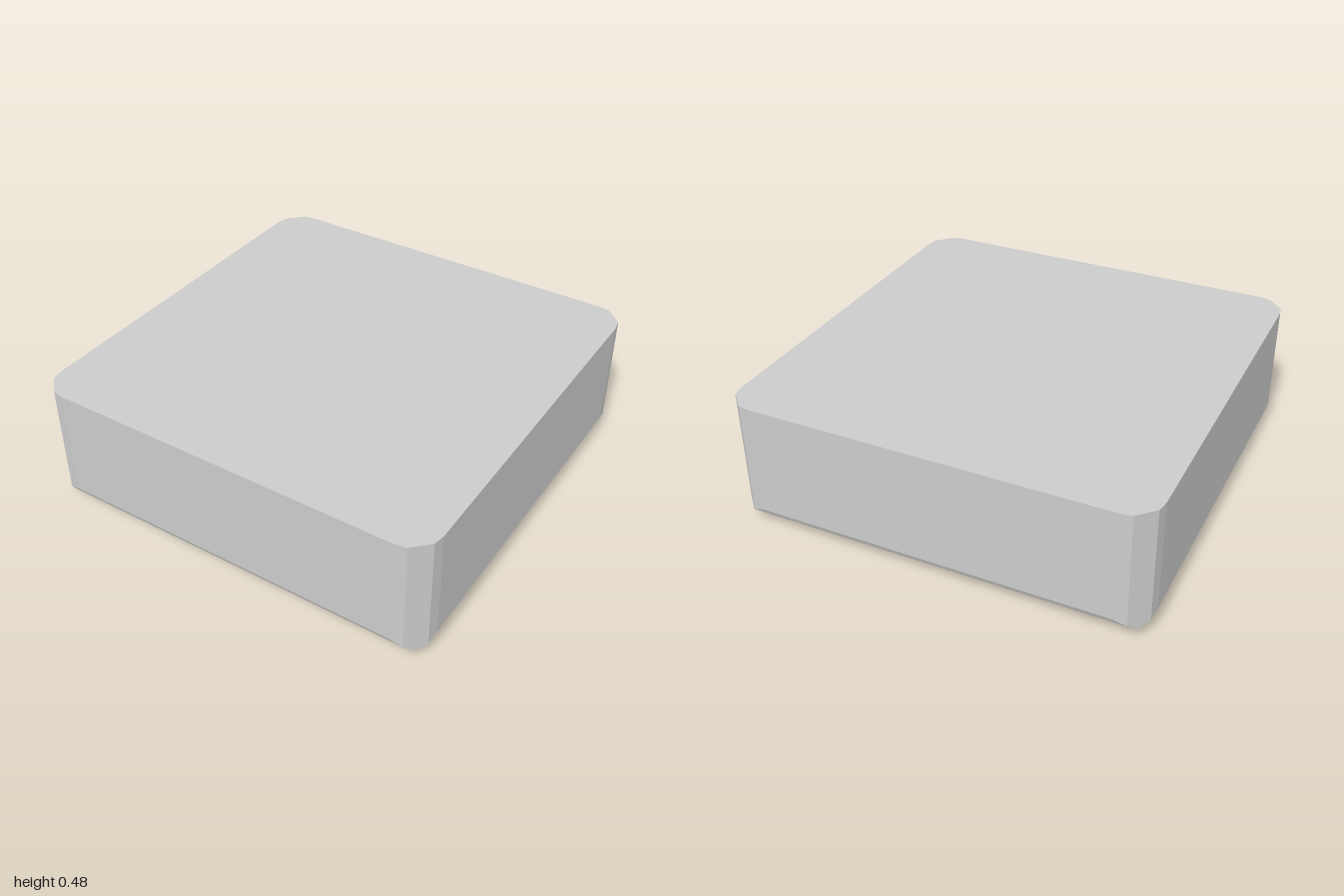
import * as THREE from 'three';
import { ConvexGeometry } from 'three/addons/geometries/ConvexGeometry.js';

const HEIGHT = 0.48;

// Outline of one corner as [sideways, height, outward]; mirrored and turned to all four corners
const corner = [
  [0.075, HEIGHT, 0.975], [0.04, HEIGHT, 1], // flat top with a sharp rim
  [0.075, 0.08, 0.975], [0.04, 0.0636, 1],   // lower ends of the bevelled upright edge
  [0, 0.035, 1],                             // where the bottom bevels meet the upright one
  [0, 0.0085, 0.962], [0, 0, 0.935],         // mitre running in to the flat underside
];

export function createModel() {
  const points = [];
  for (let k = 0; k < 4; k++) {
    const c = [1, 0, -1, 0][k], s = [0, 1, 0, -1][k];
    for (const [x, y, z] of corner) {
      for (const side of x > 0 ? [-1, 1] : [1]) {
        points.push(new THREE.Vector3(side * x * c + z * s, y, z * c - side * x * s));
      }
    }
  }

  // Bevelled square slab standing with its corners to the front, back and sides
  const slab = new THREE.Mesh(
    new ConvexGeometry(points),
    new THREE.MeshStandardMaterial({ color: 0xcccccc, flatShading: true }),
  );
  slab.name = 'bevelledSlab';

  const model = new THREE.Group();
  model.name = 'squareBlock';
  model.add(slab);
  return model;
}
